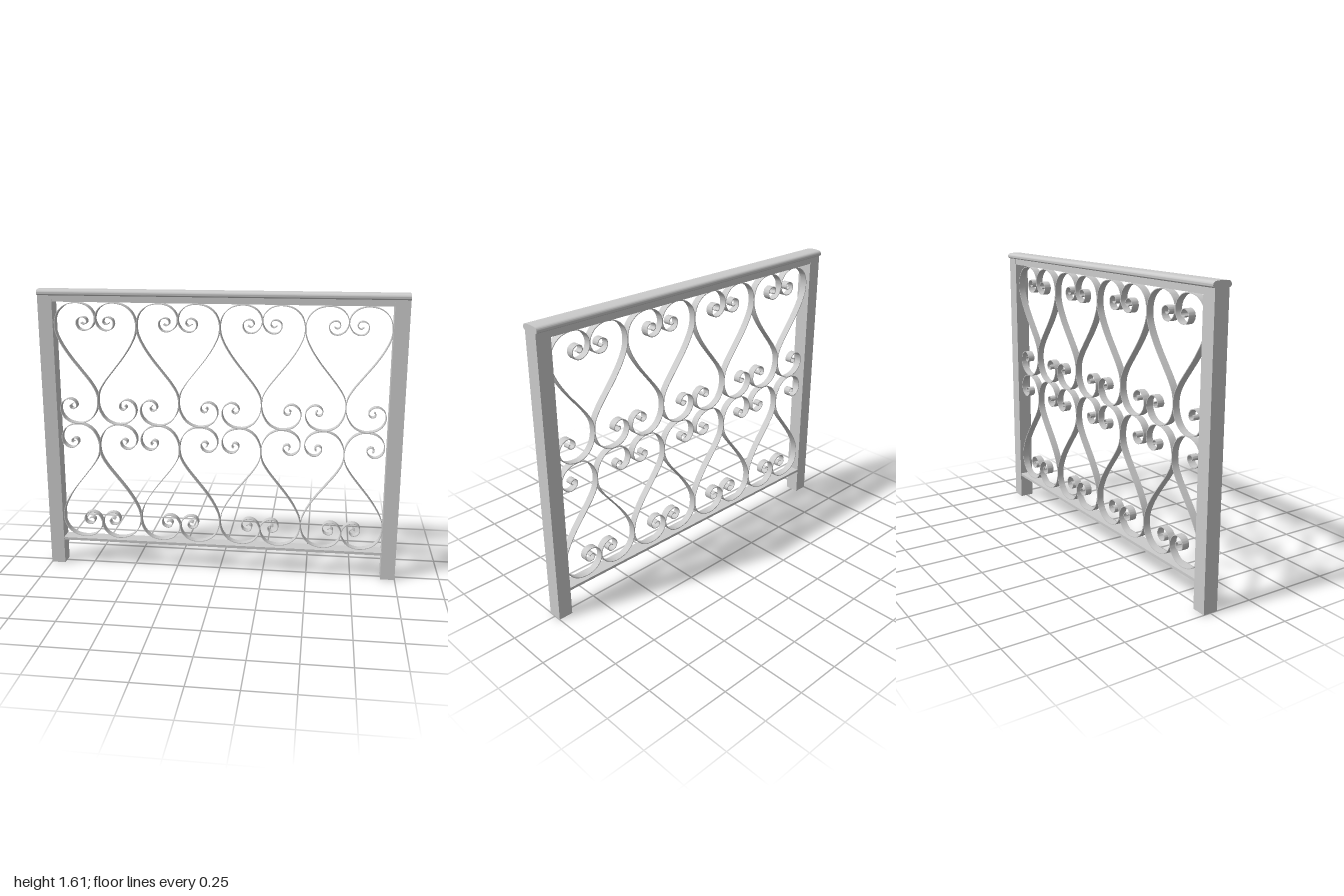
import * as THREE from 'three';
import { toCreasedNormals } from 'three/addons/utils/BufferGeometryUtils.js';

const TILE = 0.46;          // width of one pair of scrolls
const MID_Y = 0.849;        // line where the two rows of scrolls meet
const UNIT = TILE / 86;     // scroll path is drawn on a tile 86 units wide
const RIBBON_T = 0.004, RIBBON_D = 0.04;

// S-scroll from the upper curl to the lower curl
const SCROLL = [
  [28.5, 107], [31.5, 105.5], [34.5, 108], [33, 112], [29, 113], [24.5, 110.5], [23.5, 105.5],
  [26.5, 100.7], [32, 99.3], [38.5, 102], [42.7, 109.5], [41.5, 117.5], [36, 124], [29, 127],
  [22, 127.5], [12, 125], [4, 118], [0.5, 108.5], [1, 97.5], [6, 85.5], [15, 71.5], [26, 57.5],
  [36, 44.5], [41.5, 34.5], [43, 24.5], [41, 14.5], [35, 5.5], [27, 1], [21, 0.2], [12, 2],
  [5.5, 7], [2.3, 14.5], [4, 22], [10, 26.5], [15.5, 26], [19.5, 22], [19.5, 18], [16.5, 16],
  [13.5, 17], [12.8, 19.5], [14.5, 21],
];

// Flat bar bent along the scroll path, mirrored about the tile centre by sx and the mid line by sy
function scrollGeometry(sx, sy) {
  const path = new THREE.CatmullRomCurve3(SCROLL.map(([u, v]) =>
    new THREE.Vector3(sx * (u - 43) * UNIT, sy * v * UNIT, 0)), false, 'centripetal');
  const n = 200, left = [], right = [];
  for (let i = 0; i <= n; i++) {
    const p = path.getPoint(i / n), t = path.getTangent(i / n);
    const ox = -t.y * RIBBON_T / 2, oy = t.x * RIBBON_T / 2;
    left.push(new THREE.Vector2(p.x + ox, p.y + oy));
    right.unshift(new THREE.Vector2(p.x - ox, p.y - oy));
  }
  const geo = new THREE.ExtrudeGeometry(new THREE.Shape([...left, ...right]),
    { depth: RIBBON_D, bevelEnabled: false });
  geo.translate(0, 0, -RIBBON_D / 2);
  return toCreasedNormals(geo, 0.7);
}

// Handrail cap: rounded moulding swept along x
function capGeometry() {
  const s = new THREE.Shape();
  s.moveTo(-0.041, 1.572);
  s.lineTo(0.041, 1.572);
  s.quadraticCurveTo(0.053, 1.574, 0.053, 1.585);
  s.quadraticCurveTo(0.052, 1.6, 0.038, 1.603);
  s.quadraticCurveTo(0, 1.608, -0.038, 1.603);
  s.quadraticCurveTo(-0.052, 1.6, -0.053, 1.585);
  s.quadraticCurveTo(-0.053, 1.574, -0.041, 1.572);
  const geo = new THREE.ExtrudeGeometry(s, { depth: 2, bevelEnabled: false, curveSegments: 8 });
  geo.translate(0, 0, -1).rotateY(Math.PI / 2);
  return toCreasedNormals(geo, 0.6);
}

export function createModel() {
  const model = new THREE.Group();
  model.name = 'railingPanel';
  const material = new THREE.MeshStandardMaterial({ color: 0xcccccc });

  const add = (name, geo, x = 0, y = 0, parent = model) => {
    const mesh = new THREE.Mesh(geo, material);
    mesh.name = name;
    mesh.position.set(x, y, 0);
    parent.add(mesh);
  };

  // Frame
  const post = new THREE.BoxGeometry(0.08, 1.573, 0.082);
  add('leftPost', post, 0.96, 0.7865);
  add('rightPost', post, -0.96, 0.7865);
  add('topRail', new THREE.BoxGeometry(1.84, 0.035, 0.08), 0, 1.5555);
  add('bottomRail', new THREE.BoxGeometry(1.84, 0.015, 0.08), 0, 0.1525);
  add('handrailCap', capGeometry());

  // Two mirrored rows of four scroll pairs
  const scrolls = new THREE.Group();
  scrolls.name = 'scrollwork';
  model.add(scrolls);
  for (const sy of [1, -1]) {
    for (const sx of [1, -1]) {
      const geo = scrollGeometry(sx, sy);
      for (let i = 0; i < 4; i++) {
        add(sy > 0 ? 'upperScroll' : 'lowerScroll', geo, (i - 1.5) * TILE, MID_Y, scrolls);
      }
    }
  }
  return model;
}
